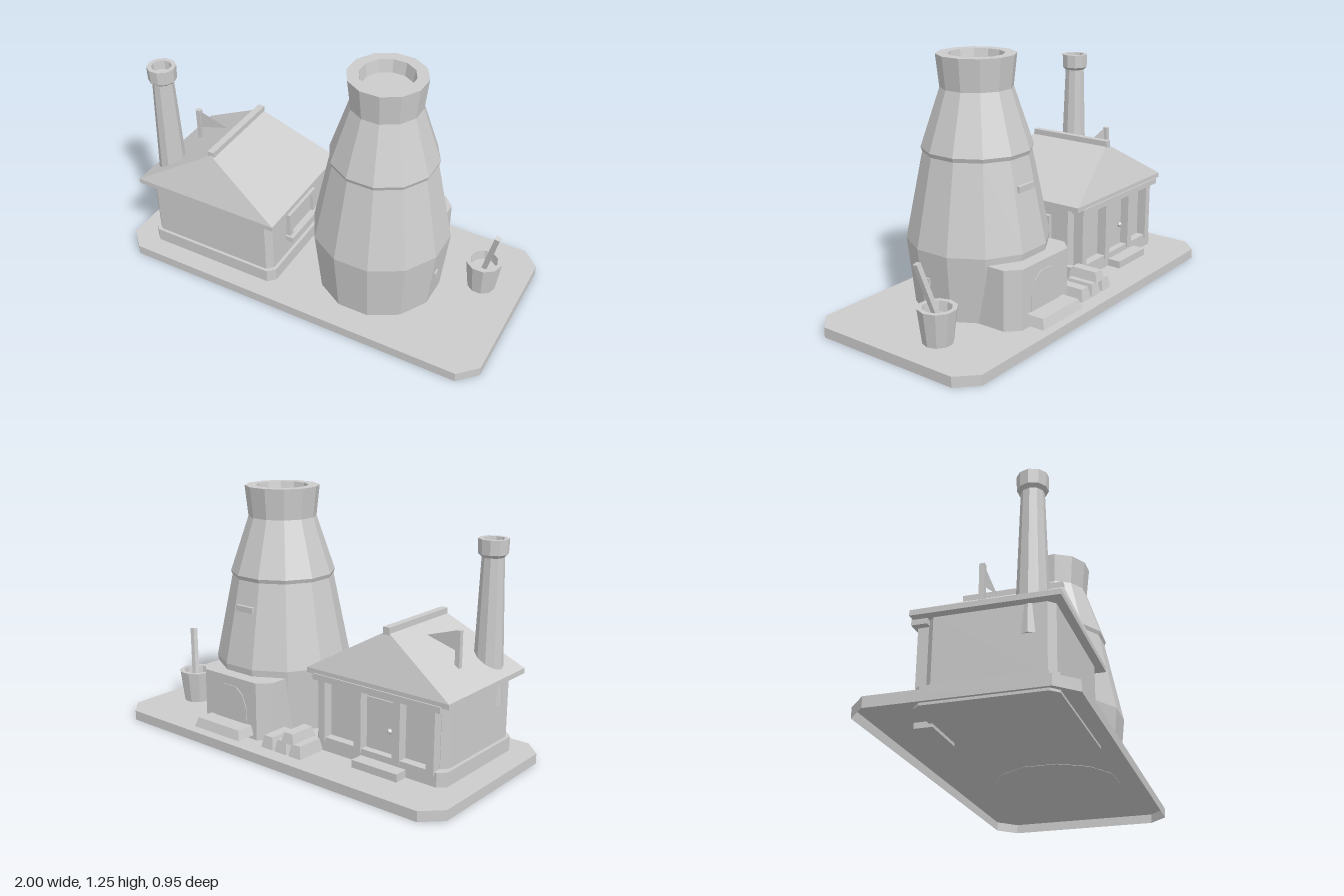
import * as THREE from 'three';

const stone = new THREE.MeshStandardMaterial({ color: 0xcccccc, flatShading: true, side: THREE.DoubleSide });
stone.name = 'plain grey';

const outline = (pts) => new THREE.Shape(pts.map(([x, y]) => new THREE.Vector2(x, y)));

export function createModel() {
  const root = new THREE.Group();
  root.name = 'kilnYard';

  const add = (name, geo, x = 0, y = 0, z = 0) => {
    const m = new THREE.Mesh(geo, stone);
    m.name = name;
    m.position.set(x, y, z);
    root.add(m);
    return m;
  };
  // box given by its limits
  const box = (name, x0, x1, y0, y1, z0, z1) =>
    add(name, new THREE.BoxGeometry(x1 - x0, y1 - y0, z1 - z0), (x0 + x1) / 2, (y0 + y1) / 2, (z0 + z1) / 2);
  // box whose top is tw by td instead of w by d
  const taperBox = (name, w, d, tw, td, x, y0, y1, z) => {
    const g = new THREE.BoxGeometry(w, y1 - y0, d);
    const p = g.attributes.position;
    for (let i = 0; i < p.count; i++) {
      if (p.getY(i) > 0) p.setXYZ(i, p.getX(i) * tw / w, p.getY(i), p.getZ(i) * td / d);
    }
    g.computeVertexNormals();
    return add(name, g, x, (y0 + y1) / 2, z);
  };
  // upright slab with cut corners
  const cutSlab = (name, x0, x1, y0, y1, z0, z1, c) => {
    const a = -z1, b = -z0;
    const s = outline([
      [x0 + c, a], [x1 - c, a], [x1, a + c], [x1, b - c],
      [x1 - c, b], [x0 + c, b], [x0, b - c], [x0, a + c],
    ]);
    const g = new THREE.ExtrudeGeometry(s, { depth: y1 - y0, bevelEnabled: false });
    g.rotateX(-Math.PI / 2);
    return add(name, g, 0, y0, 0);
  };
  // faceted turned part; radii are measured to the flats
  const turned = (name, profile, sides, x, z) => {
    const k = 1 / Math.cos(Math.PI / sides);
    const pts = profile.map(([r, y]) => new THREE.Vector2(r * k, y));
    return add(name, new THREE.LatheGeometry(pts, sides, Math.PI / sides), x, 0, z);
  };

  // base, hollow underneath: the lower lid is lifted to just below the top
  const base = cutSlab('base', -1, 1, 0, 0.05, -0.475, 0.475, 0.09).geometry;
  const lids = base.groups[0];
  const bp = base.attributes.position;
  for (let i = lids.start; i < lids.start + lids.count; i++) {
    if (bp.getY(i) < 0.01) bp.setY(i, 0.047);
  }

  // bottle kiln
  const kx = 0.306, kz = 0.042;
  turned('kiln', [
    [0, 0.045], [0.298, 0.045], [0.333, 0.378], [0.25, 0.8], [0.257, 0.82], [0.166, 1.1], [0.182, 1.254],
    [0.128, 1.254], [0.118, 1.19], [0, 1.19],
  ], 12, kx, kz);
  for (const s of [-1, 1]) add('peepBrick', new THREE.BoxGeometry(0.04, 0.035, 0.035), kx + s * 0.307, 0.228, 0.087);
  box('kilnVent', 0.25, 0.36, 0.65, 0.68, -0.248, -0.18);

  // firebox with cut back corners and an arched door plate
  const bodyGeo = new THREE.ExtrudeGeometry(
    outline([[-0.235, 0], [0.235, 0], [0.235, 0.295], [0.175, 0.355], [-0.175, 0.355], [-0.235, 0.295]]),
    { depth: 0.298, bevelEnabled: false });
  bodyGeo.rotateX(-Math.PI / 2);
  add('firebox', bodyGeo, kx, 0.047, 0);
  const arch = outline([
    [-0.11, 0.02], [0.11, 0.02], [0.11, 0.15], [0.085, 0.215],
    [0.04, 0.25], [-0.04, 0.25], [-0.085, 0.215], [-0.11, 0.15],
  ]);
  add('fireboxArch', new THREE.ExtrudeGeometry(arch, { depth: 0.008, bevelEnabled: false }), kx, 0.05, -0.359);
  taperBox('hearthLedge', 0.31, 0.12, 0.28, 0.09, kx, 0.073, 0.12, -0.4);

  // cottage
  const hx = -0.507;
  cutSlab('plinth', hx - 0.372, hx + 0.372, 0.035, 0.12, -0.235, 0.375, 0.035);
  cutSlab('walls', hx - 0.355, hx + 0.355, 0.1, 0.44, -0.19, 0.36, 0.03);
  box('roofEaves', -0.905, -0.109, 0.43, 0.455, -0.25, 0.398);
  taperBox('roof', 0.796, 0.648, 0.004, 0.465, hx, 0.455, 0.685, 0.074);
  box('ridgeBeam', -0.525, -0.49, 0.665, 0.705, -0.165, 0.305);

  // back porch: beam, posts, door and step
  box('porchBeam', -0.865, -0.15, 0.405, 0.435, -0.257, -0.185);
  for (const x of [-0.81, -0.625, -0.405, -0.19]) box('porchPost', x - 0.02, x + 0.02, 0.1, 0.42, -0.24, -0.185);
  box('door', -0.6, -0.43, 0.11, 0.37, -0.198, -0.18);
  add('doorKnob', new THREE.IcosahedronGeometry(0.015, 0), -0.57, 0.235, -0.21);
  box('doorStep', -0.68, -0.425, 0.02, 0.088, -0.305, -0.22);

  // side window
  const wz = 0.07;
  box('windowPane', -0.16, -0.144, 0.24, 0.36, wz - 0.11, wz + 0.11);
  for (const s of [-1, 1]) {
    box('windowJamb', -0.16, -0.129, 0.235, 0.372, wz + s * 0.115 - 0.014, wz + s * 0.115 + 0.014);
  }
  box('windowHead', -0.16, -0.129, 0.347, 0.372, wz - 0.11, wz + 0.11);
  box('windowSill', -0.16, -0.108, 0.21, 0.24, wz - 0.14, wz + 0.14);

  // chimney
  turned('chimney', [
    [0, 0.3], [0.073, 0.3], [0.05, 1.0], [0.066, 1.015], [0.068, 1.085],
    [0.047, 1.085], [0.043, 1.04], [0, 1.04],
  ], 10, -0.795, 0.25);

  // pennant on a short pole
  box('flagPole', -0.787, -0.763, 0.45, 0.7, 0.008, 0.032);
  add('pennant', new THREE.ShapeGeometry(outline([[-0.765, 0.597], [-0.6, 0.645], [-0.765, 0.697]])), 0, 0, 0.025);

  // loose bricks
  for (const [x, y, z] of [[-0.155, 0.05, -0.315], [-0.065, 0.05, -0.315], [0.022, 0.05, -0.315], [-0.105, 0.107, -0.31]]) {
    taperBox('brick', 0.075, 0.165, 0.052, 0.14, x, y, y + (y > 0.1 ? 0.05 : 0.06), z);
  }

  // bucket and stirring stick
  turned('bucket', [
    [0, 0.053], [0.068, 0.053], [0.088, 0.22], [0.066, 0.22], [0.06, 0.17], [0, 0.17],
  ], 10, 0.797, -0.13);
  const a = new THREE.Vector3(0.797, 0.15, -0.138), b = new THREE.Vector3(0.866, 0.43, -0.08);
  const stick = add('stick', new THREE.BoxGeometry(0.026, a.distanceTo(b), 0.026));
  stick.position.copy(a).add(b).multiplyScalar(0.5);
  stick.quaternion.setFromUnitVectors(new THREE.Vector3(0, 1, 0), b.clone().sub(a).normalize());

  return root;
}
